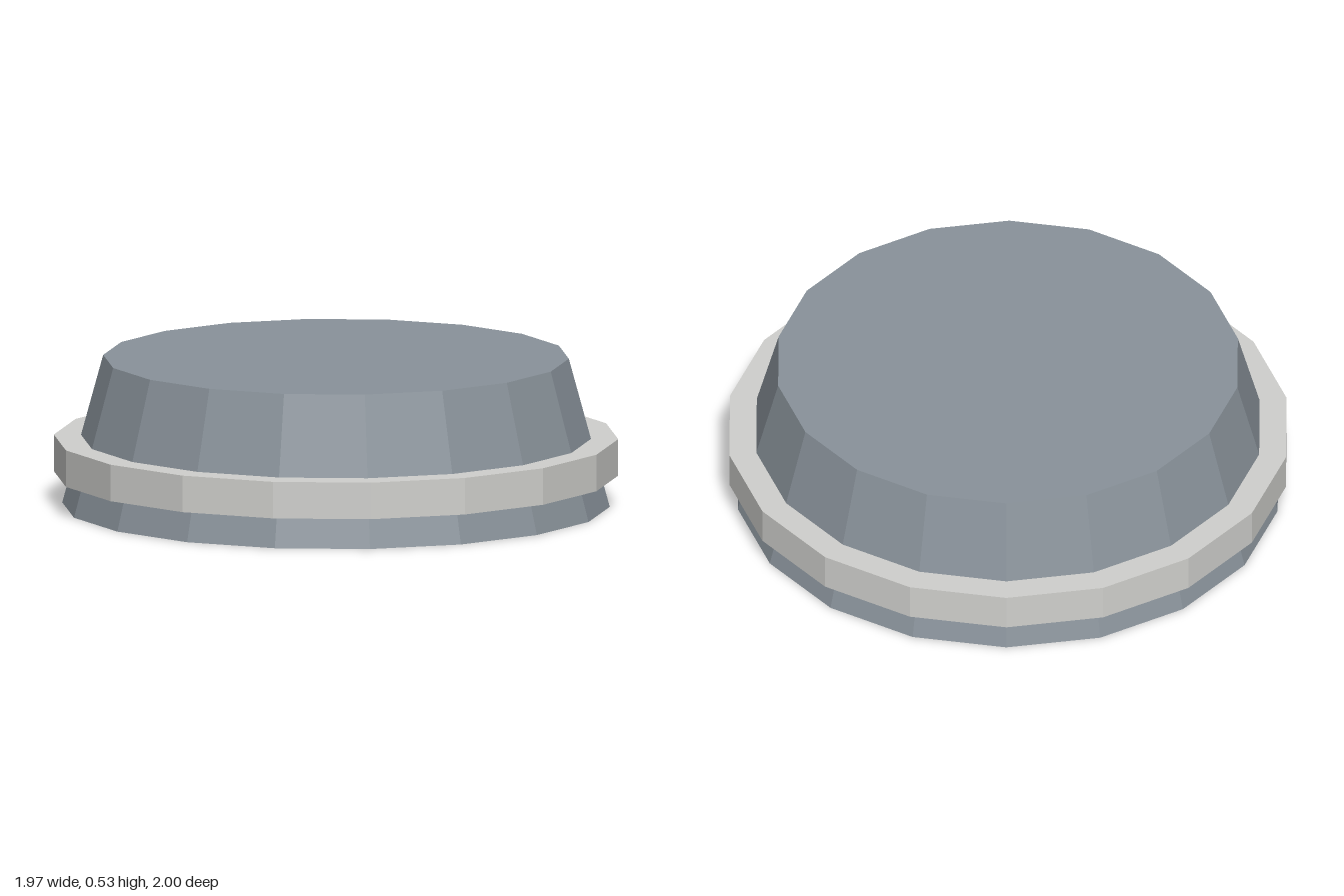
import * as THREE from 'three';

const SIDES = 18;

export function createModel() {
  const slate = new THREE.MeshStandardMaterial({ color: 0x89929a });
  slate.name = 'slate grey';
  const pale = new THREE.MeshStandardMaterial({ color: 0xd0d0cd });
  pale.name = 'pale grey';

  const model = new THREE.Group();
  model.name = 'roundBase';

  // Faceted drum between two heights, with a corner facing the front
  function drum(name, rTop, rBottom, y0, y1, material) {
    const geometry = new THREE.CylinderGeometry(rTop, rBottom, y1 - y0, SIDES).toNonIndexed();
    geometry.computeVertexNormals(); // flat facets
    const mesh = new THREE.Mesh(geometry, material);
    mesh.name = name;
    mesh.position.y = (y0 + y1) / 2;
    model.add(mesh);
  }

  // Tapered body
  drum('body', 0.825, 0.97, 0, 0.53, slate);
  // Straight band around the lower body
  drum('band', 1, 1, 0.112, 0.243, pale);

  return model;
}
